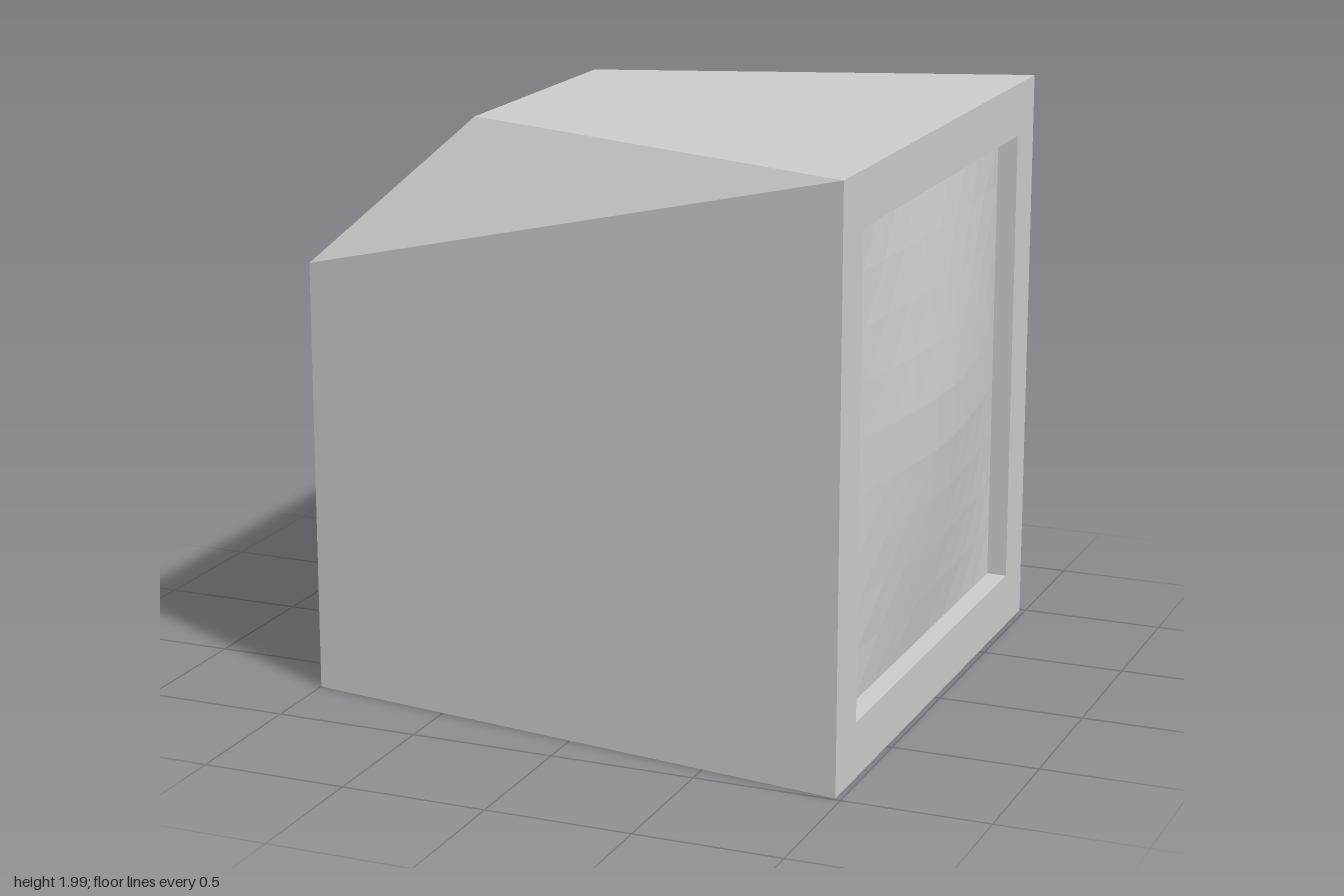
import * as THREE from 'three';

const FRONT = 0.98, RIM = 0.91, TOP = 1.985, HALF = 0.99;
const HOLE = 0.805, HOLE_Y = 0.995;

// Flat polygons (corner loops) fanned into triangles, turned to face away from
// (or, with inward = true, towards) a centre point.
function polygons(faces, centre, inward = false) {
  const pos = [];
  for (const face of faces) {
    const p = face.map(c => new THREE.Vector3(...c));
    const normal = p[1].clone().sub(p[0]).cross(p[2].clone().sub(p[0]));
    const outward = normal.dot(p[0].clone().sub(centre)) > 0;
    if (outward === inward) p.reverse();
    for (let i = 1; i < p.length - 1; i++) {
      for (const v of [p[0], p[i], p[i + 1]]) pos.push(v.x, v.y, v.z);
    }
  }
  const g = new THREE.BufferGeometry();
  g.setAttribute('position', new THREE.Float32BufferAttribute(pos, 3));
  g.computeVertexNormals();
  return g;
}

export function createModel() {
  const group = new THREE.Group();
  const material = new THREE.MeshStandardMaterial({ color: 0xcccccc, flatShading: true });
  const add = (name, geometry) => {
    const mesh = new THREE.Mesh(geometry, material);
    mesh.name = name;
    group.add(mesh);
    return mesh;
  };

  // Casing: tapers towards the back, with a sloped upper rear
  const frontTop = [[FRONT, TOP, HALF], [FRONT, TOP, -HALF]];
  const frontBase = [[FRONT, 0, HALF], [FRONT, 0, -HALF]];
  const backTop = [[-1, 1.495, 0.71], [-1, 1.495, -0.81]];
  const backBase = [[-1, 0, 0.71], [-1, 0, -0.81]];
  const ridge = [[-0.495, TOP, 0.475], [-0.495, TOP, -0.5]];
  const faces = [
    [frontTop[0], frontTop[1], ridge[1], ridge[0]],
    [ridge[0], ridge[1], backTop[1], backTop[0]],
    [backTop[0], backTop[1], backBase[1], backBase[0]],
    [frontBase[0], frontBase[1], backBase[1], backBase[0]],
  ];
  for (const s of [0, 1]) {
    faces.push([frontBase[s], frontTop[s], backTop[s], backBase[s]]);
    faces.push([frontTop[s], ridge[s], backTop[s]]);
  }
  add('casing', polygons(faces, new THREE.Vector3(0, 0.9, 0)));

  // Flat bezel with the screen opening
  const rect = (path, w, y0, y1) =>
    path.moveTo(-w, y0).lineTo(w, y0).lineTo(w, y1).lineTo(-w, y1).closePath();
  const outline = rect(new THREE.Shape(), HALF, 0, TOP);
  outline.holes.push(rect(new THREE.Path(), HOLE, HOLE_Y - HOLE, HOLE_Y + HOLE));
  const bezel = add('bezel', new THREE.ShapeGeometry(outline).rotateY(Math.PI / 2));
  bezel.position.x = FRONT;

  // Walls of the screen recess
  const corners = [[-1, -1], [1, -1], [1, 1], [-1, 1]].map(([a, b]) => [HOLE_Y + a * HOLE, b * HOLE]);
  const walls = corners.map((c, i) => {
    const d = corners[(i + 1) % 4];
    return [[FRONT, ...c], [FRONT, ...d], [RIM, ...d], [RIM, ...c]];
  });
  add('screenRecess', polygons(walls, new THREE.Vector3(FRONT, HOLE_Y, 0), true));

  // Bulging faceted screen
  const screen = new THREE.PlaneGeometry(2 * HOLE, 2 * HOLE, 9, 9);
  const p = screen.attributes.position;
  const fall = t => Math.max(0, 1 - Math.abs(t / HOLE) ** 1.5);
  for (let i = 0; i < p.count; i++) {
    p.setZ(i, 0.097 * fall(p.getX(i)) * fall(p.getY(i)));
  }
  screen.rotateY(Math.PI / 2).translate(RIM, HOLE_Y, 0);
  screen.computeVertexNormals();
  add('screen', screen);

  return group;
}
